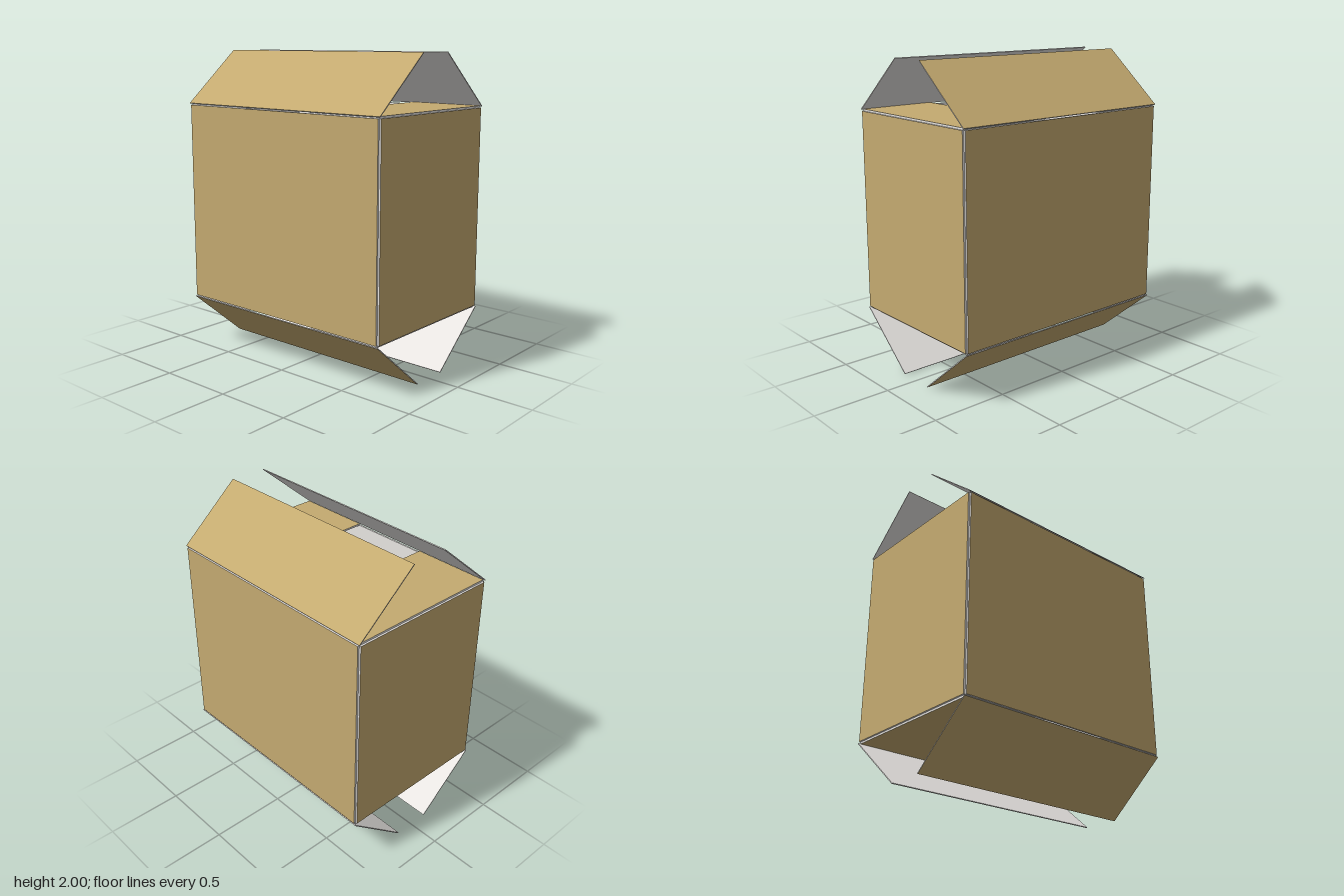
import * as THREE from 'three';

const W = 0.79, D = 0.525, Y0 = 0.34, Y1 = 1.66; // outer half-width, half-depth, body bottom and top
const T = 0.012, FLAP_T = 0.006;                 // board thicknesses

export function createModel() {
  const kraft = new THREE.MeshStandardMaterial({ color: 0xc4aa70 });
  kraft.name = 'kraft outside';
  const liner = new THREE.MeshStandardMaterial({ color: 0xe8e5e2 });
  liner.name = 'pale inside';
  const model = new THREE.Group();
  model.name = 'openCarton';

  // A board whose local +z face is the kraft outside; that face lies at z = 0
  function board(name, w, h, t) {
    const g = new THREE.BoxGeometry(w, h, t).translate(0, 0, -t / 2);
    const m = new THREE.Mesh(g, [liner, liner, liner, liner, kraft, liner]);
    m.name = name;
    model.add(m);
    return m;
  }

  const height = Y1 - Y0 - 2 * T, midY = (Y0 + Y1) / 2;

  // Front and back walls
  for (const s of [1, -1]) {
    const wall = board(s > 0 ? 'frontWall' : 'backWall', 2 * (W - T), height, T);
    wall.position.set(0, midY, s * D);
    wall.rotation.y = s > 0 ? 0 : Math.PI;
  }

  // Left and right walls
  for (const s of [1, -1]) {
    const wall = board(s > 0 ? 'leftWall' : 'rightWall', 2 * (D - T), height, T);
    wall.position.set(s * W, midY, 0);
    wall.rotation.y = s * Math.PI / 2;
  }

  // Short flaps folded flat over the left and right ends, top and bottom
  const inner = 0.27, outer = W - T;
  for (const v of [1, -1]) for (const s of [1, -1]) {
    const flap = board((v > 0 ? 'top' : 'bottom') + (s > 0 ? 'Left' : 'Right') + 'Flap',
      outer - inner, 2 * (D - T), T);
    flap.position.set(s * (inner + outer) / 2, v > 0 ? Y1 : Y0, 0);
    flap.rotation.x = -v * Math.PI / 2;
  }

  // Long flaps left half open, top and bottom
  const run = 0.4, rise = 0.34, tilt = Math.atan2(run, rise);
  for (const v of [1, -1]) for (const s of [1, -1]) {
    const flap = board((v > 0 ? 'top' : 'bottom') + (s > 0 ? 'Front' : 'Back') + 'Flap',
      2 * W, Math.hypot(run, rise), FLAP_T);
    flap.position.set(0, v > 0 ? Y1 + rise / 2 : Y0 - rise / 2, s * (D - run / 2));
    flap.rotation.order = 'YXZ';
    flap.rotation.y = s > 0 ? 0 : Math.PI;
    flap.rotation.x = -v * tilt;
  }

  return model;
}
